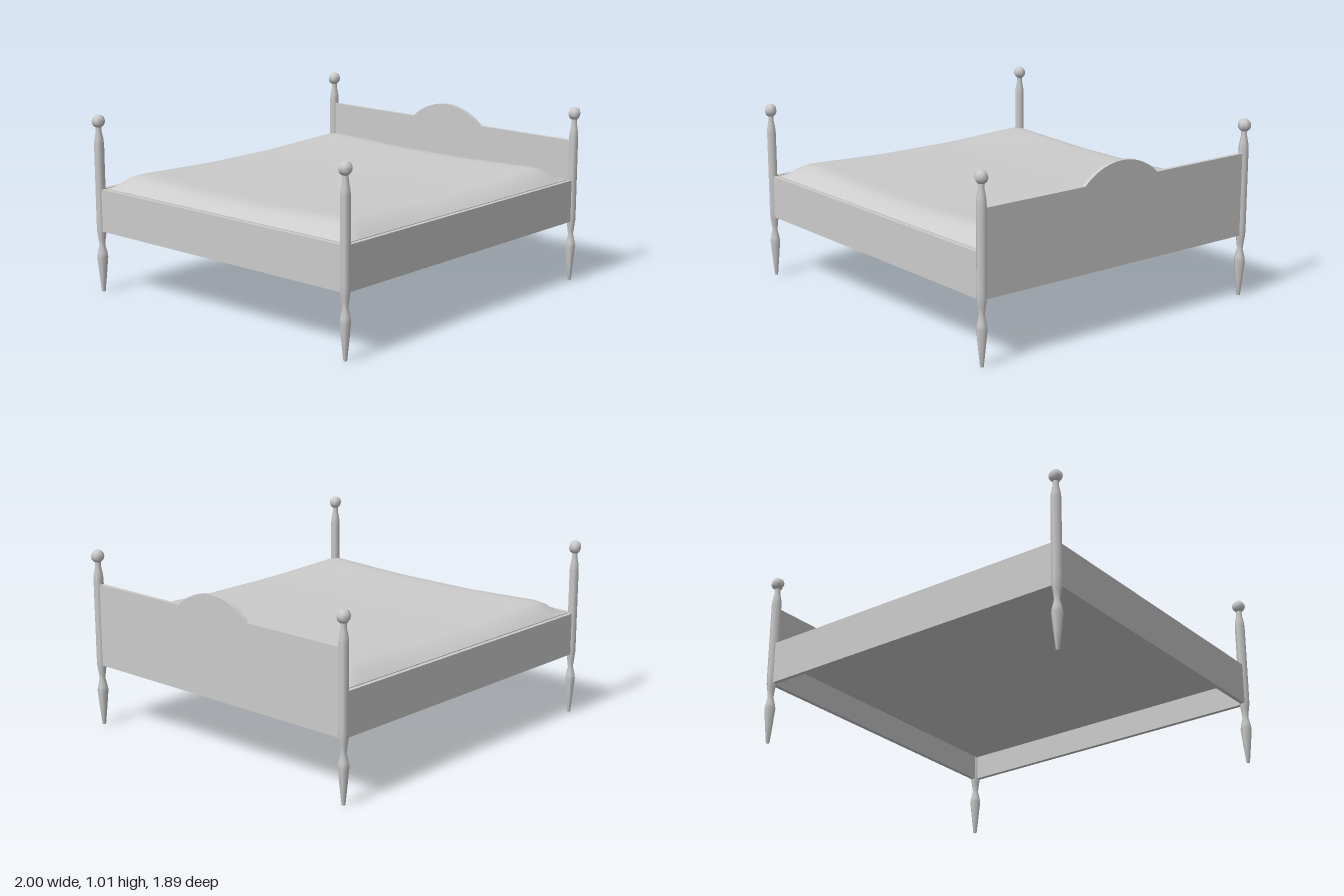
import * as THREE from 'three';

const POST_X = 0.967, POST_Z = 0.907;
const RAIL_BOTTOM = 0.35, RAIL_TOP = 0.59, THICK = 0.024;

export function createModel() {
  const bed = new THREE.Group();
  bed.name = 'bed';
  const material = new THREE.MeshStandardMaterial({ color: 0xcccccc });
  const add = (parent, name, geometry, x = 0, y = 0, z = 0) => {
    const mesh = new THREE.Mesh(geometry, material);
    mesh.name = name;
    mesh.position.set(x, y, z);
    parent.add(mesh);
    return mesh;
  };

  // Turned six-sided posts with ball finials
  const profile = [
    [0, 0], [0.01, 0], [0.021, 0.1], [0.031, 0.2], [0.027, 0.225], [0.016, 0.27],
    [0.021, 0.31], [0.027, 0.35], [0.028, 0.4], [0.028, 0.84], [0.025, 0.87],
    [0.017, 0.91], [0.016, 0.95],
  ].map(([r, y]) => new THREE.Vector2(r, y));
  const postGeometry = new THREE.LatheGeometry(profile, 6);
  const ballGeometry = new THREE.SphereGeometry(0.037, 6, 10).rotateY(Math.PI / 2);
  for (const sx of [-1, 1]) for (const sz of [-1, 1]) {
    const post = new THREE.Group();
    post.name = 'post';
    post.position.set(sx * POST_X, 0, sz * POST_Z);
    add(post, 'postShaft', postGeometry);
    add(post, 'postFinial', ballGeometry, 0, 0.97, 0);
    bed.add(post);
  }

  // Front, back and foot rails
  const railHeight = RAIL_TOP - RAIL_BOTTOM;
  const railY = (RAIL_TOP + RAIL_BOTTOM) / 2;
  const longRail = new THREE.BoxGeometry(2 * POST_X, railHeight, THICK);
  add(bed, 'frontRail', longRail, 0, railY, POST_Z);
  add(bed, 'backRail', longRail, 0, railY, -POST_Z);
  add(bed, 'footRail', new THREE.BoxGeometry(THICK, railHeight, 2 * POST_Z), -POST_X, railY, 0);

  // Headboard with an arched crest
  const outline = new THREE.Shape();
  const start = Math.atan2(0.2625, 0.25);
  outline.moveTo(-POST_Z, RAIL_BOTTOM);
  outline.lineTo(POST_Z, RAIL_BOTTOM);
  outline.lineTo(POST_Z, 0.815);
  outline.lineTo(0.25, 0.815);
  outline.absarc(0, 0.5525, 0.3625, start, Math.PI - start, false);
  outline.lineTo(-POST_Z, 0.815);
  outline.closePath();
  const board = new THREE.ExtrudeGeometry(outline, { depth: THICK, bevelEnabled: false, curveSegments: 20 });
  board.translate(0, 0, -THICK / 2).rotateY(Math.PI / 2);
  add(bed, 'headboard', board, POST_X, 0, 0);

  // Mattress: rounded rim, slightly raised corners, flat underside
  const halfX = 0.942, halfZ = 0.887, bottom = 0.49;
  const mattress = new THREE.BoxGeometry(2, 1, 2, 32, 1, 32);
  const pos = mattress.attributes.position;
  const rim = (d) => Math.sin(Math.min(1, d / 0.14) * Math.PI / 2);
  const ramp = (v) => THREE.MathUtils.clamp((Math.abs(v) - 0.25) / 0.5, 0, 1);
  for (let i = 0; i < pos.count; i++) {
    // rows gather towards the rim, where the surface curves most
    const x = halfX * Math.sin(pos.getX(i) * Math.PI / 2);
    const z = halfZ * Math.sin(pos.getZ(i) * Math.PI / 2);
    const a = ramp(x), b = ramp(z);
    const crown = 0.635 + 0.01 * Math.max(a, b) + 0.02 * a * b;
    const rise = rim(halfX - Math.abs(x)) * rim(halfZ - Math.abs(z));
    const top = RAIL_TOP + (crown - RAIL_TOP) * rise;
    pos.setXYZ(i, x, pos.getY(i) > 0 ? top : bottom, z);
  }
  mattress.computeVertexNormals();
  add(bed, 'mattress', mattress);

  return bed;
}
